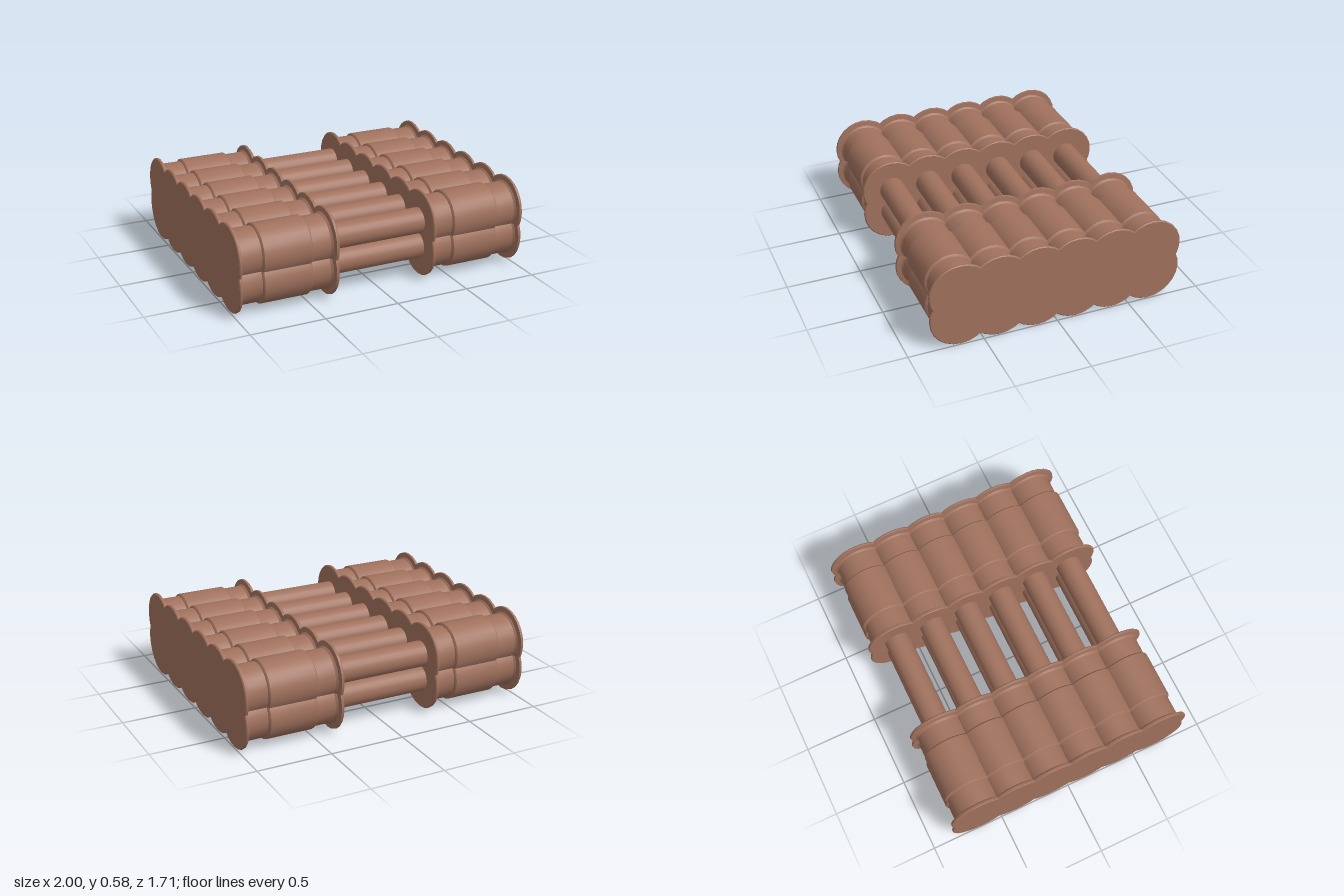
import * as THREE from 'three';
import { toCreasedNormals } from 'three/addons/utils/BufferGeometryUtils.js';

export function createModel() {
  const group = new THREE.Group();
  const clay = new THREE.MeshStandardMaterial({ color: 0xa0715d });
  clay.name = 'reddish brown';

  // Head profile as [radius, x], from the inner flange to the outer end
  const profile = [
    [0, 0.332], [0.2, 0.332], [0.206, 0.338], [0.204, 0.352], [0.172, 0.358], [0.161, 0.372],
    [0.16, 0.495], [0.168, 0.498], [0.175, 0.506],
    [0.175, 0.82], [0.168, 0.828], [0.16, 0.831],
    [0.161, 0.962], [0.172, 0.974], [0.204, 0.979], [0.206, 0.992], [0.2, 0.998], [0, 0.998],
  ].map(([r, x]) => new THREE.Vector2(r, x));
  const headGeometry = toCreasedNormals(
    new THREE.LatheGeometry(profile, 24).rotateZ(-Math.PI / 2), 0.6);

  // Plain bar joining the two heads
  const barGeometry = new THREE.CylinderGeometry(0.086, 0.086, 0.68, 24, 1, true)
    .rotateZ(-Math.PI / 2);

  function add(name, geometry, y, z, turn = 0) {
    const mesh = new THREE.Mesh(geometry, clay);
    mesh.name = name;
    mesh.position.set(0, y, z);
    mesh.rotation.y = turn;
    group.add(mesh);
  }

  // Two layers of six, packed so that neighbouring heads merge
  for (const y of [0.208, 0.38]) {
    for (let i = 0; i < 6; i++) {
      const z = (i - 2.5) * 0.259;
      add('bar', barGeometry, y, z);
      add('leftHead', headGeometry, y, z);
      add('rightHead', headGeometry, y, z, Math.PI);
    }
  }
  return group;
}
